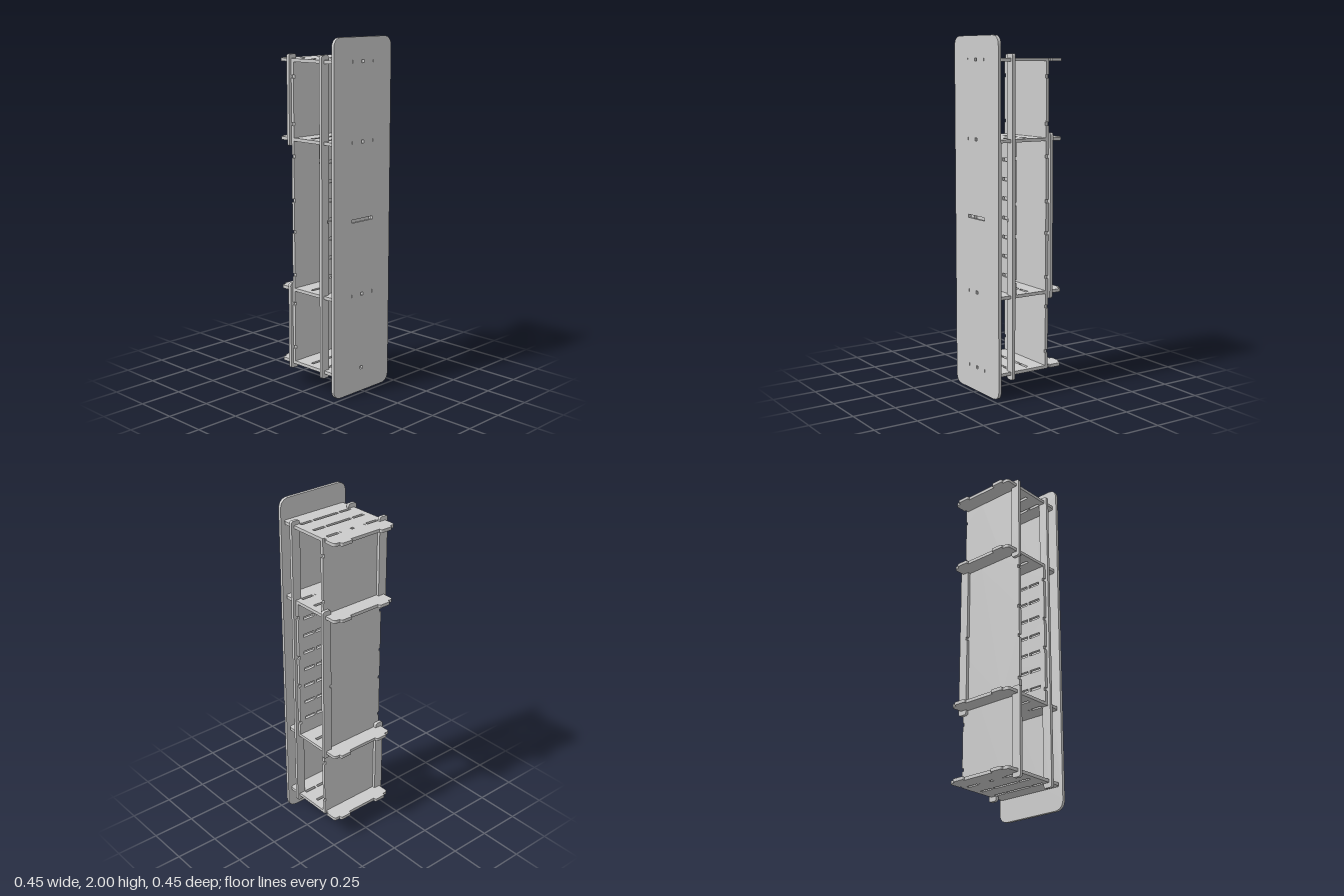
import * as THREE from 'three';

const T = 0.018;                            // board thickness
const SHELVES = [0.139, 0.574, 1.435, 1.87]; // shelf centre heights
const material = new THREE.MeshStandardMaterial({ color: 0xcccccc });

// Closed outline from [x, y, cornerRadius] points
function outline(points, target = new THREE.Shape()) {
  const n = points.length;
  points.forEach(([x, y, r = 0], i) => {
    const toward = ([px, py]) => {
      const d = Math.hypot(px - x, py - y);
      return [x + (px - x) * r / d, y + (py - y) * r / d];
    };
    const a = toward(points[(i + n - 1) % n]);
    const b = toward(points[(i + 1) % n]);
    if (i === 0) target.moveTo(...a); else target.lineTo(...a);
    if (r) target.quadraticCurveTo(x, y, ...b);
  });
  target.closePath();
  return target;
}

// Right half plus its mirror image
const mirrored = (half) => [...half, ...half.map(([x, y, r]) => [-x, y, r]).reverse()];

const slot = (x0, x1, y, h = T) =>
  outline([[x0, y - h / 2], [x0, y + h / 2], [x1, y + h / 2], [x1, y - h / 2]], new THREE.Path());

// Row of three slots: two short, one long
const slotRow = (y, h = T) =>
  [[-0.172, -0.098], [-0.083, 0.083], [0.098, 0.172]].map(([a, b]) => slot(a, b, y, h));

function board(name, points, holes = []) {
  const shape = outline(points);
  shape.holes.push(...holes);
  const geometry = new THREE.ExtrudeGeometry(shape, { depth: T, bevelEnabled: false, curveSegments: 8 });
  const mesh = new THREE.Mesh(geometry, material);
  mesh.name = name;
  return mesh;
}

// Upright panel with tabs at top and bottom and notches in its sides
function panel(name, y0, y1, tab0, tab1, notches, holes) {
  const half = [
    [0.01, y0], [0.01, y0 - tab0], [0.08, y0 - tab0], [0.08, y0], [0.208, y0],
    ...notches.flatMap((y) => [[0.208, y - 0.009], [0.198, y - 0.009], [0.198, y + 0.009], [0.208, y + 0.009]]),
    [0.208, y1], [0.08, y1], [0.08, y1 + tab1], [0.01, y1 + tab1], [0.01, y1],
  ];
  return board(name, mirrored(half), holes);
}

// Side rail notched where it hooks over the shelves
function rail(name, side, y0, y1, z) {
  const cuts = SHELVES.map((y) => [y, 0.197]);
  cuts.push([1, 0.18]);
  const inner = cuts.filter(([y]) => y > y0 && y < y1).sort((a, b) => b[0] - a[0])
    .flatMap(([y, x]) => [[0.17, y + T / 2], [x, y + T / 2], [x, y - T / 2], [0.17, y - T / 2]]);
  const points = [
    [0.225, y0, 0.015], [0.225, y1, 0.015], [0.17, y1, 0.015], ...inner, [0.17, y0, 0.015],
  ].map(([x, y, r]) => [x * side, y, r]);
  const mesh = board(name, points);
  mesh.position.z = z;
  return mesh;
}

export function createModel() {
  const model = new THREE.Group();
  model.name = 'slottedShelfTower';

  // Front panel with slots for the shelf tabs
  const front = board('frontPanel',
    mirrored([[0.225, 0, 0.06], [0.225, 2, 0.06]]),
    [...SHELVES, 1].map((y) => slot(-0.083, 0.083, y)));
  front.position.z = 0.207;
  model.add(front);

  // Shelves, drawn flat with the back edge upward
  const shelfHalf = [
    [0.01, -0.207], [0.01, -0.225], [0.08, -0.225], [0.08, -0.207], [0.208, -0.207, 0.02],
    [0.208, -0.134], [0.197, -0.134], [0.197, -0.116], [0.208, -0.116],
    [0.208, 0.118], [0.197, 0.118], [0.197, 0.136], [0.208, 0.136],
    [0.208, 0.21, 0.02], [0.172, 0.21], [0.172, 0.227, 0.01], [0.098, 0.227, 0.01], [0.098, 0.21],
  ];
  for (const y of SHELVES) {
    const shelf = board('shelf', mirrored(shelfHalf), [-0.107, 0, 0.109].flatMap((v) => slotRow(v)));
    shelf.rotation.x = -Math.PI / 2;
    shelf.position.y = y - T / 2;
    model.add(shelf);
  }

  // Back panels between the shelves
  const [a, b, c, d] = SHELVES;
  const h = T / 2;
  const midNotches = [0.66, 0.91, 1.09, 1.34];
  const backs = [
    panel('lowerBackPanel', a + h, b - h, T, h, [0.23, 0.49]),
    panel('middleBackPanel', b + h, c - h, h, h, midNotches),
    panel('upperBackPanel', c + h, d - h, h, T, [1.52, 1.78]),
  ];
  for (const back of backs) {
    back.position.z = -0.118;
    model.add(back);
  }

  // Inner front panel with seven rows of slots
  const rows = [-3, -2, -1, 0, 1, 2, 3].flatMap((i) => slotRow(1.0045 + i * 0.1077));
  const inner = panel('innerSlottedPanel', b + h, c - h, T, T, midNotches, rows);
  inner.position.z = 0.098;
  model.add(inner);

  // Rails: full height in front, staggered at the back
  for (const side of [-1, 1]) model.add(rail('frontRail', side, 0.103, 1.903, 0.116));
  model.add(
    rail('lowerBackRail', -1, 0.103, 0.61, -0.136),
    rail('middleBackRail', 1, 0.538, 1.471, -0.136),
    rail('upperBackRail', -1, 1.399, 1.903, -0.136),
  );
  return model;
}
